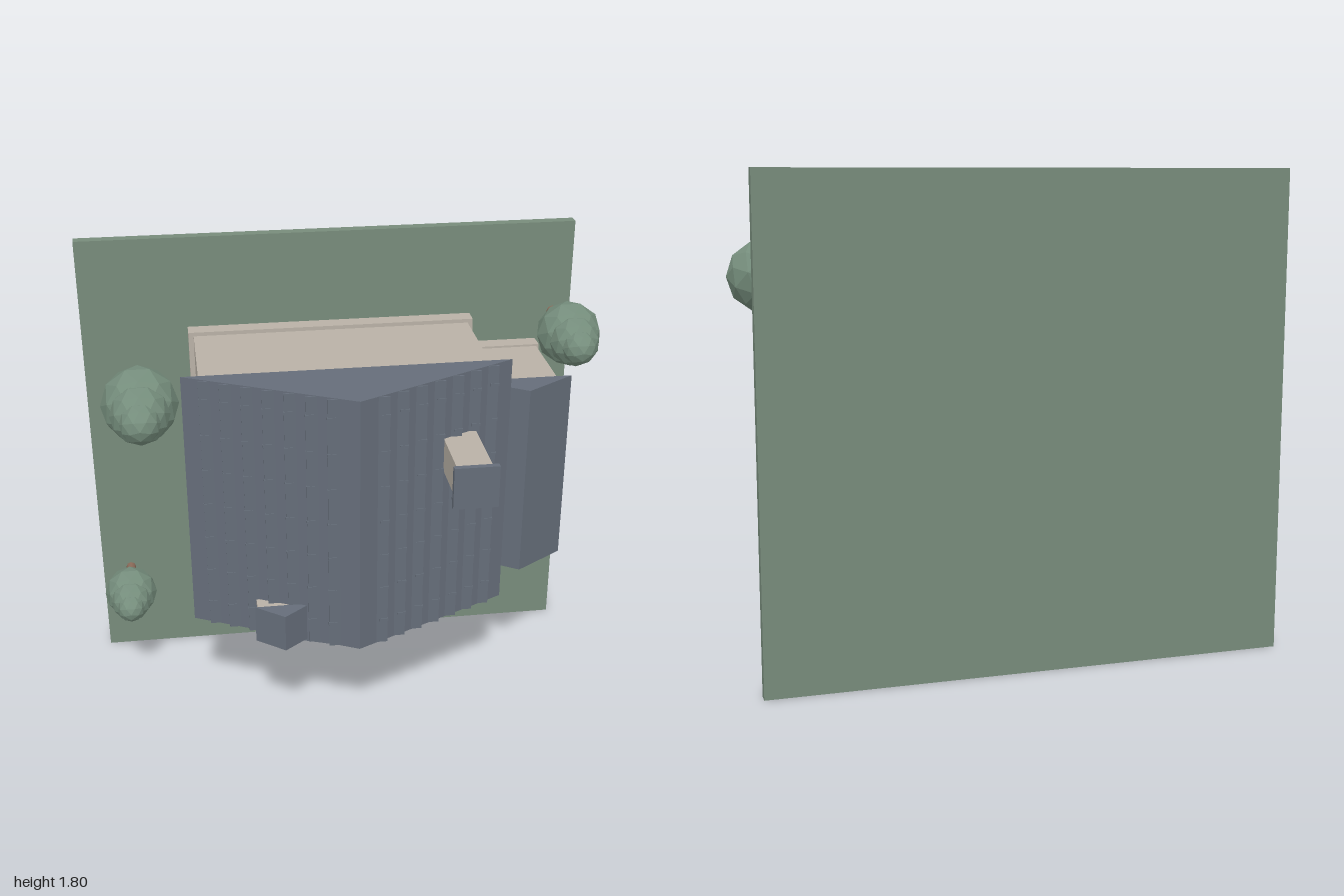
import * as THREE from 'three';

// The cottage lies on its back: its own "up" is +z and its own front is -y.
const mat = (name, color) => {
  const m = new THREE.MeshStandardMaterial({ color });
  m.name = name;
  return m;
};

export function createModel() {
  const M = {
    grass: mat('grass green', 0x778b7b),
    leaf: mat('foliage green', 0x758d7c),
    slate: mat('roof slate', 0x656d79),
    wall: mat('wall beige', 0xb9b1a6),
    wood: mat('wood brown', 0x8c6c5a),
    glass: mat('window glass', 0x59636c),
  };
  M.leaf.flatShading = true;
  const root = new THREE.Group();
  root.name = 'cottage';
  const RIDGE = -0.03;

  const add = (name, geo, material, parent = root) => {
    const mesh = new THREE.Mesh(geo, material);
    mesh.name = name;
    parent.add(mesh);
    return mesh;
  };
  // Box given by its min and max on each axis
  const box = (name, m, x0, x1, y0, y1, z0, z1, parent = root) => {
    const mesh = add(name, new THREE.BoxGeometry(x1 - x0, y1 - y0, z1 - z0), m, parent);
    mesh.position.set((x0 + x1) / 2, (y0 + y1) / 2, (z0 + z1) / 2);
    return mesh;
  };
  // Triangular prism along y
  const gable = (name, x0, x1, y0, y1, z0, z1, parent = root) => {
    const s = new THREE.Shape([
      new THREE.Vector2(x0, z0), new THREE.Vector2(x1, z0), new THREE.Vector2((x0 + x1) / 2, z1),
    ]);
    const g = new THREE.ExtrudeGeometry(s, { depth: y1 - y0, bevelEnabled: false });
    g.rotateX(Math.PI / 2).translate(0, y1, 0);
    return add(name, g, M.slate, parent);
  };
  // Window on a wall facing -y, with frame bars, glass and sill
  const frontWindow = (name, x0, x1, y, z0, z1, sill) => {
    const g = new THREE.Group();
    g.name = name;
    root.add(g);
    const b = 0.02, xm = (x0 + x1) / 2, zm = (z0 + z1) / 2;
    box('glass', M.glass, x0, x1, y - 0.006, y + 0.002, z0, z1, g);
    for (const x of [x0, xm - b / 2, x1 - b]) box('frameUpright', M.wood, x, x + b, y - 0.016, y, z0, z1, g);
    for (const z of [z0, zm - b / 2, z1 - b]) box('frameRail', M.wood, x0, x1, y - 0.014, y, z, z + b, g);
    if (sill) box('sill', M.wall, x0 - 0.015, x1 + 0.015, y - 0.05, y, z0 - 0.015, z0, g);
  };

  // Ground
  box('ground', M.grass, -1, 0.94, 0, 1.8, -0.5, -0.457);

  // Main house and side wing
  box('mainFoundation', M.wall, -0.59, 0.53, 0.45, 1.44, -0.457, -0.39);
  box('mainWalls', M.wall, -0.57, 0.51, 0.47, 1.425, -0.39, 0.086);
  box('frontPlinth', M.wall, -0.53, 0.47, 0.415, 0.5, -0.457, -0.395);
  box('wingFoundation', M.wall, 0.5, 0.805, 0.605, 1.318, -0.457, -0.39);
  box('wingWalls', M.wall, 0.5, 0.795, 0.62, 1.31, -0.39, 0.005);
  gable('wingRoof', 0.45, 0.83, 0.58, 1.345, 0, 0.122);
  gable('mainRoof', -0.635, 0.575, 0.445, 1.46, 0.085, 0.385);

  // Roof courses: thin ledges along each slope, with small joints
  for (const side of [-1, 1]) {
    for (let i = 0; i < 7; i++) {
      const outer = 0.11 + i * 0.0725, z = 0.348 - i * 0.036;
      const span = (a, c) => [RIDGE + side * a, RIDGE + side * c].sort((p, q) => p - q);
      box('roofLedge', M.slate, ...span(outer - 0.07, outer), 0.447, 1.458, z - 0.003, z + 0.003);
      for (let k = 0; k < 7; k++) {
        const y = 1.385 - k * 0.14;
        box('roofJoint', M.slate, ...span(outer - 0.03, outer + 0.002), y - 0.005, y + 0.005, z - 0.005, z + 0.006);
      }
    }
  }

  // Chimney
  box('chimney', M.wall, 0.3, 0.43, 1.095, 1.22, 0.13, 0.478);
  box('chimneyCap', M.slate, 0.282, 0.445, 1.078, 1.238, 0.478, 0.5);

  // Dormer
  box('dormerWalls', M.wall, -0.4, -0.215, 0.465, 0.585, 0.13, 0.28);
  gable('dormerRoof', -0.41, -0.2, 0.447, 0.595, 0.278, 0.36);
  frontWindow('dormerWindow', -0.365, -0.25, 0.465, 0.18, 0.265, false);

  // Windows and door
  frontWindow('leftFrontWindow', 0.22, 0.44, 0.47, -0.25, 0.05, true);
  frontWindow('rightFrontWindow', -0.5, -0.28, 0.47, -0.25, 0.05, true);
  frontWindow('wingWindow', 0.56, 0.76, 0.62, -0.3, -0.07, false);
  box('wingWindowShelf', M.wood, 0.555, 0.765, 0.578, 0.59, -0.3, -0.07);
  box('doorFrame', M.wood, -0.14, 0.08, 0.447, 0.47, -0.39, 0);
  box('door', M.wood, -0.115, 0.055, 0.441, 0.45, -0.39, -0.025);
  const knob = add('doorKnob', new THREE.SphereGeometry(0.01, 8, 6), M.wood);
  knob.position.set(0.04, 0.434, -0.22);
  box('sideWindowGlass', M.glass, -0.577, -0.569, 0.82, 1.08, -0.32, 0.065);
  for (const y of [0.81, 0.94, 1.07]) box('sideWindowUpright', M.wood, -0.588, -0.57, y, y + 0.02, -0.33, 0.075);
  for (const z of [-0.33, -0.14, 0.055]) box('sideWindowRail', M.wood, -0.586, -0.57, 0.81, 1.09, z, z + 0.02);

  // Porch: deck, steps, stepping slabs, posts and roof
  box('porchDeck', M.wall, -0.23, 0.185, 0.295, 0.45, -0.457, -0.388);
  box('upperStep', M.wall, -0.21, 0.165, 0.246, 0.3, -0.457, -0.41);
  box('middleStep', M.wall, -0.185, 0.135, 0.21, 0.3, -0.457, -0.425);
  box('lowerStep', M.wall, -0.165, 0.125, 0.165, 0.3, -0.457, -0.44);
  box('pathSlab', M.wall, -0.135, 0.075, 0.13, 0.16, -0.457, -0.45);
  box('pathSlab', M.wall, -0.135, 0.075, 0.06, 0.115, -0.457, -0.45);
  gable('porchRoof', -0.287, 0.23, 0.265, 0.413, 0.002, 0.1);
  box('porchBeam', M.wood, -0.24, 0.18, 0.312, 0.345, -0.03, 0.002);
  for (const x of [RIDGE - 0.18, RIDGE + 0.18]) {
    box('porchPost', M.wood, x - 0.011, x + 0.011, 0.318, 0.34, -0.39, -0.02);
    box('postHead', M.wood, x - 0.018, x + 0.018, 0.311, 0.347, -0.068, -0.02);
    box('postFoot', M.wood, x - 0.018, x + 0.018, 0.311, 0.347, -0.39, -0.34);
  }

  // Low-poly leaf ball with its pole turned to +z
  const ball = new THREE.IcosahedronGeometry(1, 1).rotateX(Math.atan(2 / (1 + Math.sqrt(5))));

  // Flowering bushes under the front windows
  for (const x0 of [-0.5, 0.25]) {
    for (let i = 0; i < 3; i++) {
      const x = x0 + i * 0.1;
      const bush = add('bush', ball, M.leaf);
      bush.position.set(x, 0.372, -0.405);
      bush.scale.set(0.052, 0.04, 0.04);
      const flower = add('flower', new THREE.SphereGeometry(0.013, 8, 6), M.wood);
      flower.position.set(x, 0.342, -0.365);
    }
  }

  // Trees: trunk and three shrinking crowns
  for (const [x, y, z, r] of [[-0.79, 1.25, -0.17, 0.148], [0.87, 1.43, -0.21, 0.125], [-0.885, 0.378, -0.25, 0.104]]) {
    const tree = new THREE.Group();
    tree.name = 'tree';
    tree.position.set(x, y, z);
    root.add(tree);
    const h = z + 0.46;
    const trunk = add('trunk', new THREE.CylinderGeometry(r * 0.17, r * 0.19, h, 8).rotateX(Math.PI / 2), M.wood, tree);
    trunk.position.z = -h / 2;
    for (const [dz, s] of [[0, 1], [0.66, 0.77], [1.2, 0.52]]) {
      const crown = add('crown', ball, M.leaf, tree);
      crown.position.z = dz * r;
      crown.scale.setScalar(s * r);
    }
  }
  return root;
}
